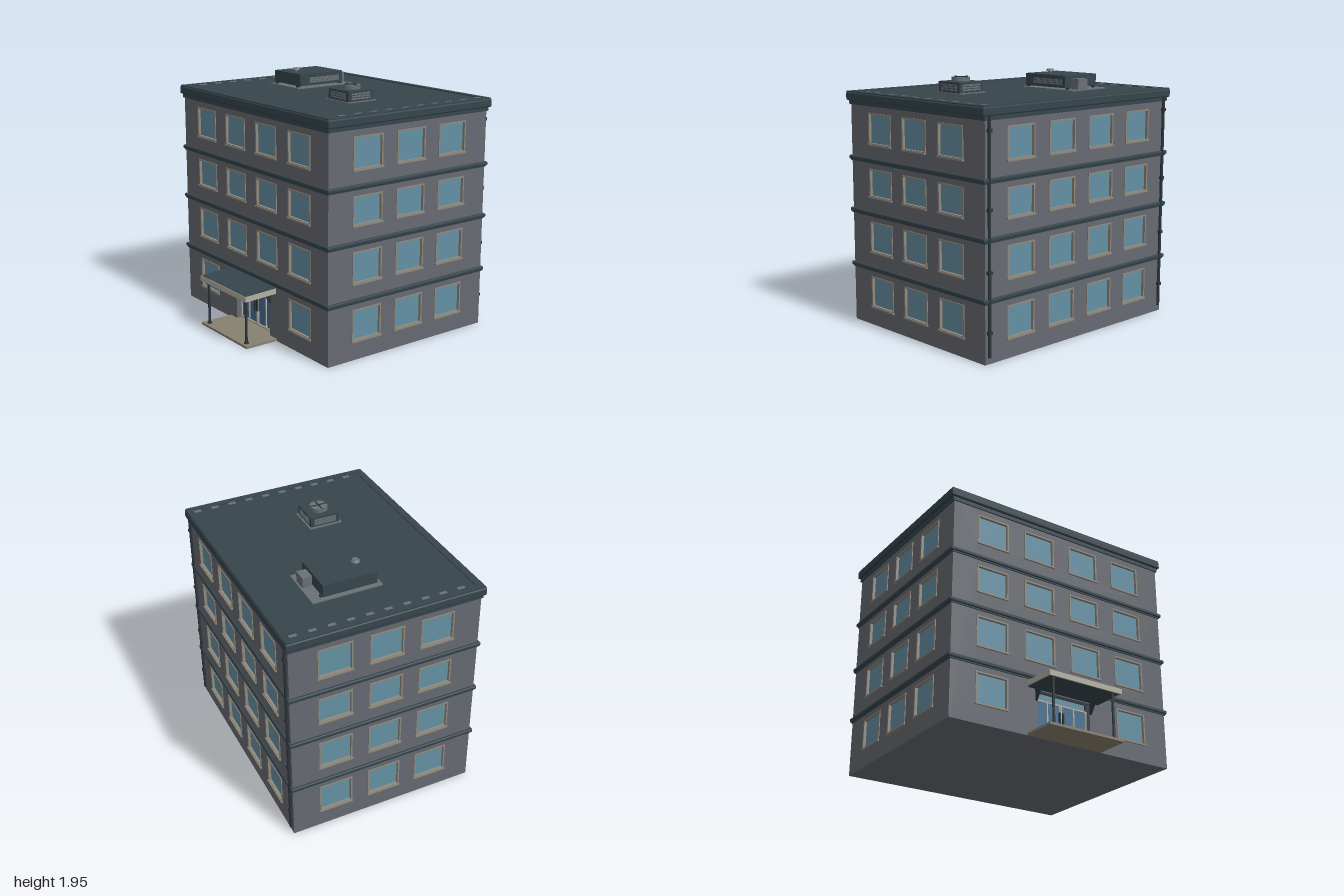
import * as THREE from 'three';
import { RoundedBoxGeometry } from 'three/addons/geometries/RoundedBoxGeometry.js';

const mat = (name, color) => Object.assign(new THREE.MeshStandardMaterial({ color }), { name });

export function createModel() {
  const M = {
    wall: mat('wall grey', 0x666a71),
    roof: mat('slate roof', 0x36454c),
    glass: mat('window glass', 0x6490a4),
    doorGlass: mat('door glass', 0x466f93),
    frame: mat('window frame taupe', 0x8f897d),
    cream: mat('canopy cream', 0xb4b0a4),
    paving: mat('paving', 0x87806f),
    vent: mat('vent grey', 0x697176),
    metal: mat('dark metal', 0x2b373c),
  };
  const model = new THREE.Group();
  model.name = 'officeBuilding';

  const add = (parent, name, geo, m, x = 0, y = 0, z = 0) => {
    const mesh = new THREE.Mesh(geo, m);
    mesh.name = name;
    mesh.position.set(x, y, z);
    parent.add(mesh);
    return mesh;
  };
  // Box given by its limits on each axis
  const box = (parent, name, m, x0, x1, y0, y1, z0, z1) =>
    add(parent, name, new THREE.BoxGeometry(x1 - x0, y1 - y0, z1 - z0), m, (x0 + x1) / 2, (y0 + y1) / 2, (z0 + z1) / 2);
  const cyl = (parent, name, m, r0, r1, y0, y1, x, z, n = 16) =>
    add(parent, name, new THREE.CylinderGeometry(r1, r0, y1 - y0, n), m, x, (y0 + y1) / 2, z);
  const rect = (T, x0, x1, y0, y1) => {
    const p = new T();
    p.moveTo(x0, y0); p.lineTo(x1, y0); p.lineTo(x1, y1); p.lineTo(x0, y1); p.closePath();
    return p;
  };
  const extrude = (shape, depth) => new THREE.ExtrudeGeometry(shape, { depth, bevelEnabled: false });

  // Walls: panels with window openings, outer face at local z = 0
  const rows = [[0.145, 0.39], [0.583, 0.825], [1.015, 1.235], [1.42, 1.662]];
  const HW = 0.135;

  function addWindow(parent, x, y0, y1) {
    const g = new THREE.Group();
    g.name = 'window';
    const ring = rect(THREE.Shape, x - HW, x + HW, y0, y1);
    ring.holes.push(rect(THREE.Path, x - HW + 0.012, x + HW - 0.012, y0 + 0.012, y1 - 0.012));
    add(g, 'windowFrame', extrude(ring, 0.03), M.frame, 0, 0, -0.024);
    box(g, 'windowPane', M.glass, x - HW, x + HW, y0, y1, -0.022, -0.016);
    box(g, 'windowSill', M.frame, x - HW - 0.004, x + HW + 0.004, y0 - 0.006, y0 + 0.006, -0.01, 0.014);
    parent.add(g);
  }

  function addWall(name, width, xs, px, pz, turn, hasDoor = false) {
    const g = new THREE.Group();
    g.name = name;
    const shape = rect(THREE.Shape, -width / 2, width / 2, 0, 1.76);
    rows.forEach(([y0, y1], floor) => xs.forEach((x) => {
      if (hasDoor && floor === 0 && Math.abs(x) < 0.4) return;
      shape.holes.push(rect(THREE.Path, x - HW, x + HW, y0, y1));
      addWindow(g, x, y0, y1);
    }));
    if (hasDoor) shape.holes.push(rect(THREE.Path, -0.235, 0.235, 0.015, 0.365));
    add(g, name + 'Panel', extrude(shape, 0.06), M.wall, 0, 0, -0.06);
    g.position.set(px, 0, pz);
    g.rotation.y = turn;
    model.add(g);
  }
  const four = [-0.625, -0.208, 0.208, 0.625], three = [-0.403, 0, 0.403];
  addWall('frontWall', 1.934, four, 0, 0.63, 0, true);
  addWall('backWall', 1.934, four, 0, -0.88, Math.PI);
  addWall('leftWall', 1.39, three, 0.967, -0.125, Math.PI / 2);
  addWall('rightWall', 1.39, three, -0.967, -0.125, -Math.PI / 2);
  box(model, 'groundFloor', M.wall, -0.92, 0.92, 0, 0.012, -0.83, 0.58);

  // Floor bands with a small ledge under each
  const slab = (name, half, y0, y1, z0, z1, r) =>
    add(model, name, new RoundedBoxGeometry(half * 2, y1 - y0, z1 - z0, 2, r), M.roof, 0, (y0 + y1) / 2, (z0 + z1) / 2);
  for (const y of [0.458, 0.89, 1.302]) {
    slab('floorBand', 0.988, y - 0.014, y + 0.016, -0.897, 0.648, 0.009);
    box(model, 'bandLedge', M.roof, -0.975, 0.975, y - 0.024, y - 0.012, -0.887, 0.638);
  }

  // Roof slab, low rim and edge vents
  box(model, 'eavesTrim', M.roof, -0.978, 0.978, 1.712, 1.75, -0.89, 0.64);
  slab('roofSlab', 1, 1.742, 1.806, -0.905, 0.655, 0.012);
  const rim = rect(THREE.Shape, -0.993, 0.993, -0.648, 0.898);
  rim.holes.push(rect(THREE.Path, -0.94, 0.94, -0.59, 0.85));
  add(model, 'roofRim', extrude(rim, 0.016), M.roof, 0, 1.797, 0).rotation.x = -Math.PI / 2;
  for (const s of [-1, 1]) for (let i = 0; i < 10; i++)
    add(model, 'edgeVent', new THREE.BoxGeometry(0.028, 0.008, 0.058), M.vent, s * 0.922, 1.808, -0.82 + i * 0.1445);

  // Downpipes at the back corners
  for (const s of [-1, 1]) {
    cyl(model, 'downpipe', M.metal, 0.012, 0.012, 0.05, 1.745, s * 0.935, -0.89, 12);
    for (const y of [0.23, 0.66, 1.1, 1.645]) box(model, 'pipeBracket', M.metal, s * 0.935 - 0.018, s * 0.935 + 0.018, y - 0.012, y + 0.012, -0.904, -0.875);
  }

  // Entrance doors set back in the wall
  const door = new THREE.Group();
  door.name = 'entrance';
  model.add(door);
  box(door, 'doorGlass', M.doorGlass, -0.235, 0.235, 0.015, 0.312, 0.574, 0.58);
  box(door, 'transomGlass', M.glass, -0.235, 0.235, 0.312, 0.365, 0.574, 0.58);
  for (const x of [-0.23, -0.118, -0.008, 0.008, 0.118, 0.23])
    box(door, 'doorStile', M.cream, x - 0.005, x + 0.005, 0.02, 0.312, 0.578, 0.59);
  for (const [y0, y1] of [[0.02, 0.034], [0.304, 0.315]])
    box(door, 'doorRail', M.cream, -0.235, 0.235, y0, y1, 0.578, 0.591);
  for (const s of [-1, 1]) {
    box(door, 'doorHandle', M.metal, s * 0.015 - 0.005, s * 0.015 + 0.005, 0.14, 0.25, 0.59, 0.606);
    box(door, 'transomSide', M.metal, s * 0.23 - 0.005, s * 0.23 + 0.005, 0.315, 0.365, 0.578, 0.59);
  }

  // Porch paving, posts, brackets and sloping canopy
  box(model, 'porchPaving', M.paving, -0.325, 0.325, 0, 0.018, 0.575, 0.905);
  const sideProfile = (pts) => new THREE.Shape(pts.map(([z, y]) => new THREE.Vector2(-z, y)));
  const addSide = (name, pts, width, x, m) =>
    add(model, name, extrude(sideProfile(pts), width), m, x - width / 2, 0, 0).rotation.y = Math.PI / 2;
  addSide('canopyDeck', [[0.9, 0.372], [0.9, 0.41], [0.63, 0.425], [0.63, 0.372]], 0.63, 0, M.roof);
  box(model, 'canopyFascia', M.cream, -0.322, 0.322, 0.368, 0.408, 0.895, 0.906);
  for (const s of [-1, 1]) {
    addSide('canopySide', [[0.9, 0.368], [0.9, 0.408], [0.63, 0.42], [0.63, 0.38]], 0.01, s * 0.318, M.cream);
    addSide('canopyBracket', [[0.695, 0.375], [0.63, 0.375], [0.63, 0.28]], 0.018, s * 0.245, M.metal);
    cyl(model, 'canopyPost', M.metal, 0.01, 0.01, 0.018, 0.372, s * 0.265, 0.866, 12);
    cyl(model, 'postFoot', M.metal, 0.018, 0.018, 0.018, 0.03, s * 0.265, 0.866, 12);
    cyl(model, 'postCap', M.metal, 0.015, 0.015, 0.36, 0.374, s * 0.265, 0.866, 12);
  }

  // Large rooftop air unit on feet
  const unit = new THREE.Group();
  unit.name = 'largeAirUnit';
  model.add(unit);
  box(unit, 'unitPad', M.vent, -0.645, -0.25, 1.8, 1.814, -0.545, 0.005);
  box(unit, 'unitBody', M.roof, -0.622, -0.268, 1.825, 1.92, -0.455, -0.03);
  for (const x of [-0.59, -0.3]) for (const z of [-0.455, -0.03])
    box(unit, 'unitFoot', M.metal, x - 0.012, x + 0.012, 1.812, 1.83, z - 0.012, z + 0.012);
  box(unit, 'rearDuct', M.vent, -0.44, -0.335, 1.812, 1.895, -0.53, -0.455);
  for (let i = 0; i < 3; i++)
    box(unit, 'sideLouvre', M.vent, -0.27, -0.262, 1.847 + i * 0.015, 1.859 + i * 0.015, -0.42, -0.12);
  cyl(unit, 'ventStem', M.vent, 0.014, 0.014, 1.918, 1.936, -0.45, -0.12);
  cyl(unit, 'ventCap', M.vent, 0.036, 0.024, 1.934, 1.95, -0.45, -0.12, 20);

  // Small fan unit with louvred sides
  const fan = new THREE.Group();
  fan.name = 'smallFanUnit';
  model.add(fan);
  box(fan, 'fanPad', M.vent, 0.275, 0.54, 1.8, 1.814, -0.142, 0.125);
  box(fan, 'fanBody', M.roof, 0.29, 0.527, 1.814, 1.893, -0.127, 0.11);
  for (let side = 0; side < 4; side++) {
    const g = new THREE.Group();
    g.name = 'fanLouvres';
    g.position.set(0.4085, 0, -0.0085);
    g.rotation.y = side * Math.PI / 2;
    for (let i = 0; i < 3; i++) box(g, 'louvre', M.vent, -0.09, 0.09, 1.828 + i * 0.018, 1.84 + i * 0.018, 0.117, 0.123);
    fan.add(g);
  }
  cyl(fan, 'fanHousing', M.vent, 0.07, 0.07, 1.89, 1.924, 0.4085, -0.0085, 24);
  for (const [w, d] of [[0.14, 0.008], [0.008, 0.14]])
    add(fan, 'fanGuardBar', new THREE.BoxGeometry(w, 0.006, d), M.metal, 0.4085, 1.926, -0.0085);

  return model;
}
